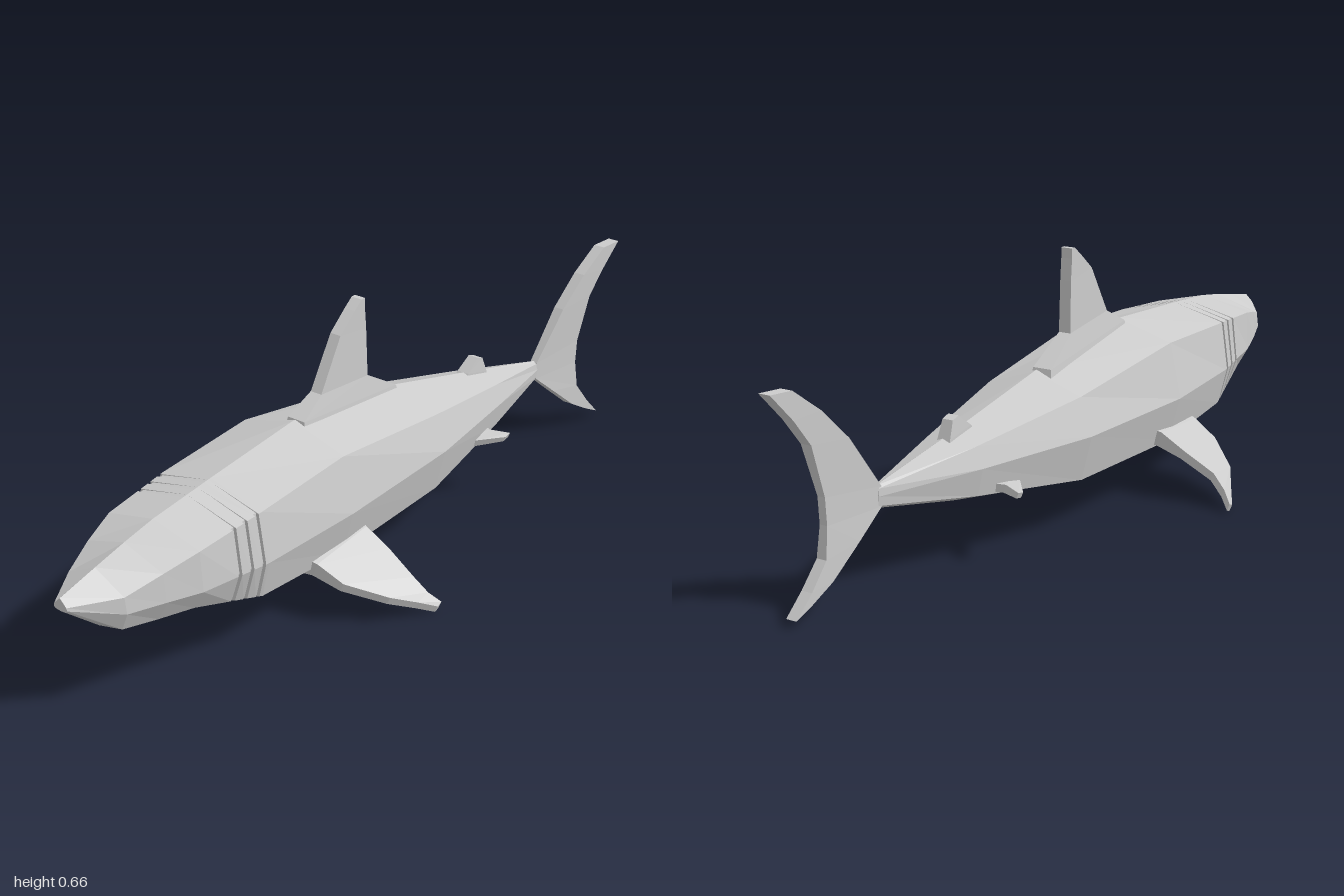
import * as THREE from 'three';

const material = new THREE.MeshStandardMaterial({ color: 0xcccccc, flatShading: true });

// Skin a closed solid through rings of equal point count, facing outwards.
function loft(name, rings) {
  const tris = [];
  const n = rings[0].length;
  for (let i = 0; i < rings.length - 1; i++) {
    for (let j = 0; j < n; j++) {
      const k = (j + 1) % n;
      const a = rings[i][j], b = rings[i][k], c = rings[i + 1][k], d = rings[i + 1][j];
      tris.push([a, b, c], [a, c, d]);
    }
  }
  const first = rings[0], last = rings[rings.length - 1];
  for (let j = 1; j < n - 1; j++) {
    tris.push([first[0], first[j + 1], first[j]], [last[0], last[j], last[j + 1]]);
  }
  // Signed volume tells whether the winding must be reversed
  let volume = 0;
  const [A, B, C] = [0, 0, 0].map(() => new THREE.Vector3());
  for (const [a, b, c] of tris) {
    volume += A.fromArray(a).dot(B.fromArray(b).cross(C.fromArray(c)));
  }
  const points = tris.flatMap(t => (volume < 0 ? [t[0], t[2], t[1]] : t)).flat();
  const geometry = new THREE.BufferGeometry();
  geometry.setAttribute('position', new THREE.Float32BufferAttribute(points, 3));
  geometry.computeVertexNormals();
  const mesh = new THREE.Mesh(geometry, material);
  mesh.name = name;
  return mesh;
}

// Upright fin: each section is [front z, front y, back z, back y, half thickness]
function uprightFin(name, sections, xAt) {
  return loft(name, sections.map(([zf, yf, zb, yb, t]) => [
    [xAt(zf) - t, yf, zf], [xAt(zf) + t, yf, zf],
    [xAt(zb) + t, yb, zb], [xAt(zb) - t, yb, zb],
  ]));
}

// Side fin: each section is [x, y front, z front, y back, z back, thickness]
function sideFin(name, sections, side, shift = 0) {
  return loft(name, sections.map(([x, yf, zf, yb, zb, t]) => [
    [side * x + shift, yf + t / 2, zf], [side * x + shift, yb + t / 2, zb],
    [side * (x - t * 0.4) + shift, yb - t / 2, zb], [side * (x - t * 0.4) + shift, yf - t / 2, zf],
  ]));
}

// [z, centre x, top y, shoulder x, y, flank x, y, belly edge x, y, keel y]
const bodySections = [
  [0.995, 0, 0.33, 0.018, 0.312, 0.02, 0.305, 0.016, 0.3, 0.298],
  [0.89, 0, 0.353, 0.083, 0.31, 0.088, 0.27, 0.07, 0.225, 0.207],
  [0.8, 0, 0.372, 0.112, 0.335, 0.118, 0.265, 0.09, 0.212, 0.17],
  [0.71, 0, 0.388, 0.135, 0.355, 0.142, 0.255, 0.112, 0.203, 0.155],
  [0.52, 0, 0.406, 0.148, 0.37, 0.167, 0.245, 0.145, 0.15, 0.095],
  [0.23, 0, 0.43, 0.15, 0.385, 0.18, 0.243, 0.15, 0.128, 0.068],
  [-0.15, 0.017, 0.382, 0.128, 0.337, 0.158, 0.243, 0.13, 0.13, 0.088],
  [-0.46, 0.048, 0.31, 0.068, 0.288, 0.084, 0.237, 0.07, 0.17, 0.146],
  [-0.71, 0.08, 0.253, 0.008, 0.248, 0.01, 0.23, 0.008, 0.208, 0.202],
];

// Interpolated section, with its sides drawn in by the given inset
function sectionAt(z, inset) {
  const i = bodySections.findIndex(s => s[0] < z) - 1;
  const a = bodySections[i], b = bodySections[i + 1];
  const f = (z - a[0]) / (b[0] - a[0]);
  const s = a.map((v, k) => v + (b[k] - v) * f);
  for (const k of [3, 5, 7]) s[k] -= inset;
  return s;
}

function bodyRing([z, cx, top, sx, sy, mx, my, lx, ly, keel]) {
  return [
    [cx, top, z], [cx + sx, sy, z], [cx + mx, my, z], [cx + lx, ly, z],
    [cx, keel, z], [cx - lx, ly, z], [cx - mx, my, z], [cx - sx, sy, z],
  ];
}

export function createModel() {
  const model = new THREE.Group();
  model.name = 'shark';

  // Body with three recessed gill slits on each side
  const sections = bodySections.slice();
  for (const z of [0.605, 0.57, 0.535]) {
    sections.push(sectionAt(z + 0.0055, 0), sectionAt(z + 0.005, 0.008),
      sectionAt(z - 0.005, 0.008), sectionAt(z - 0.0055, 0));
  }
  sections.sort((a, b) => b[0] - a[0]);
  model.add(loft('body', sections.map(bodyRing)));

  // Main back fin with a wider foot
  model.add(uprightFin('dorsalFin', [
    [0.23, 0.39, -0.15, 0.35, 0.03],
    [0.22, 0.43, -0.14, 0.388, 0.025],
    [0.145, 0.47, -0.035, 0.452, 0.016],
    [0.07, 0.595, -0.03, 0.58, 0.015],
    [0.015, 0.64, -0.025, 0.635, 0.015],
    [-0.012, 0.66, -0.025, 0.66, 0.015],
  ], () => 0.002));

  // Small back fin near the tail
  model.add(uprightFin('rearDorsalFin', [
    [-0.39, 0.29, -0.5, 0.27, 0.018],
    [-0.415, 0.32, -0.49, 0.302, 0.017],
    [-0.455, 0.352, -0.475, 0.345, 0.014],
  ], z => 0.002 - z * 0.095));

  // Crescent tail, swung to one side
  model.add(uprightFin('tailFin', [
    [-0.94, 0.525, -0.998, 0.528, 0.015],
    [-0.865, 0.465, -0.94, 0.46, 0.015],
    [-0.79, 0.385, -0.895, 0.395, 0.014],
    [-0.7, 0.252, -0.86, 0.27, 0.01],
    [-0.7, 0.205, -0.857, 0.205, 0.01],
    [-0.77, 0.145, -0.866, 0.13, 0.013],
    [-0.85, 0.077, -0.91, 0.07, 0.014],
    [-0.91, 0.042, -0.955, 0.02, 0.014],
  ], z => 0.08 - (z + 0.7) * 0.18));

  for (const [side, label] of [[1, 'left'], [-1, 'right']]) {
    // Large swept front fins
    model.add(sideFin(label + 'PectoralFin', [
      [0.13, 0.145, 0.36, 0.16, 0.15, 0.045],
      [0.165, 0.138, 0.348, 0.152, 0.16, 0.036],
      [0.23, 0.108, 0.333, 0.122, 0.158, 0.022],
      [0.31, 0.066, 0.26, 0.076, 0.165, 0.02],
      [0.345, 0.034, 0.195, 0.042, 0.155, 0.019],
      [0.37, 0.01, 0.15, 0.016, 0.135, 0.018],
    ], side));

    // Little fins under the rear of the body
    model.add(sideFin(label + 'PelvicFin', [
      [0.06, 0.17, -0.3, 0.178, -0.42, 0.024],
      [0.1, 0.17, -0.345, 0.177, -0.405, 0.02],
      [0.148, 0.172, -0.408, 0.176, -0.428, 0.014],
    ], side, 0.038));
  }

  return model;
}
